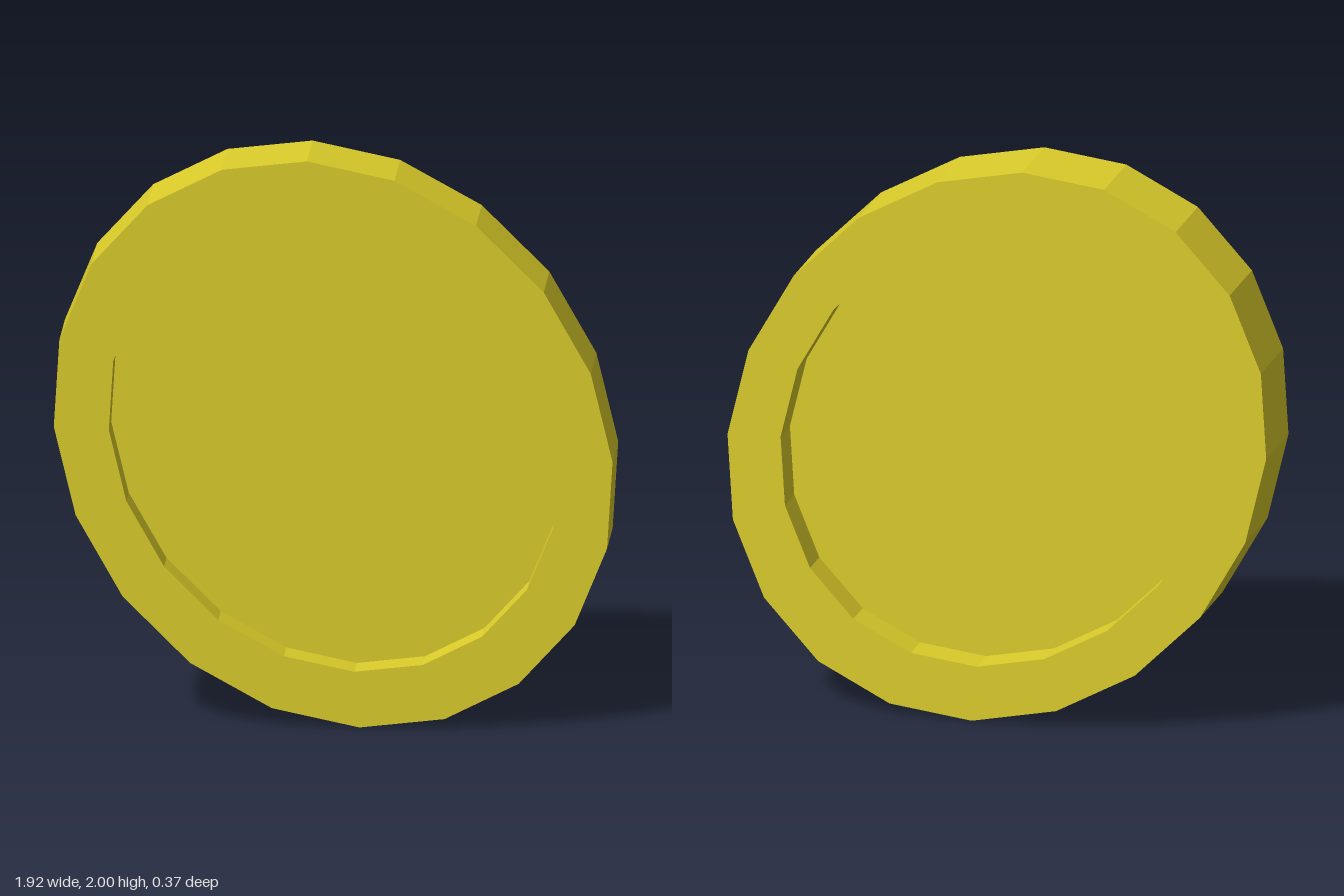
import * as THREE from 'three';

const SIDES = 20;

export function createModel() {
  const model = new THREE.Group();
  model.name = 'coin';

  // Half-section of the disc: raised rim around a recessed web on both faces
  const rim = 0.5, web = 0.08, inner = 0.803;
  const profile = [
    [0, -web], [inner, -web], [inner, -rim], [1, -rim],
    [1, rim], [inner, rim], [inner, web], [0, web],
  ].map(([r, h]) => new THREE.Vector2(r, h));

  // Lean the disc: side axis, thickness axis, upright axis
  const side = new THREE.Vector3(-0.955, 0.045, 0.045);
  const through = new THREE.Vector3(0.013, 0, 0.277);
  const up = new THREE.Vector3(-0.09, 0.998, 0.003);
  const lean = new THREE.Matrix4().makeBasis(side, through, up).setPosition(0, 1, 0);

  const geometry = new THREE.LatheGeometry(profile, SIDES).toNonIndexed();
  geometry.applyMatrix4(lean);
  geometry.computeVertexNormals();

  const material = new THREE.MeshStandardMaterial({ color: 0xdccd2a, flatShading: true });
  const disc = new THREE.Mesh(geometry, material);
  disc.name = 'rimmedDisc';
  model.add(disc);
  return model;
}
